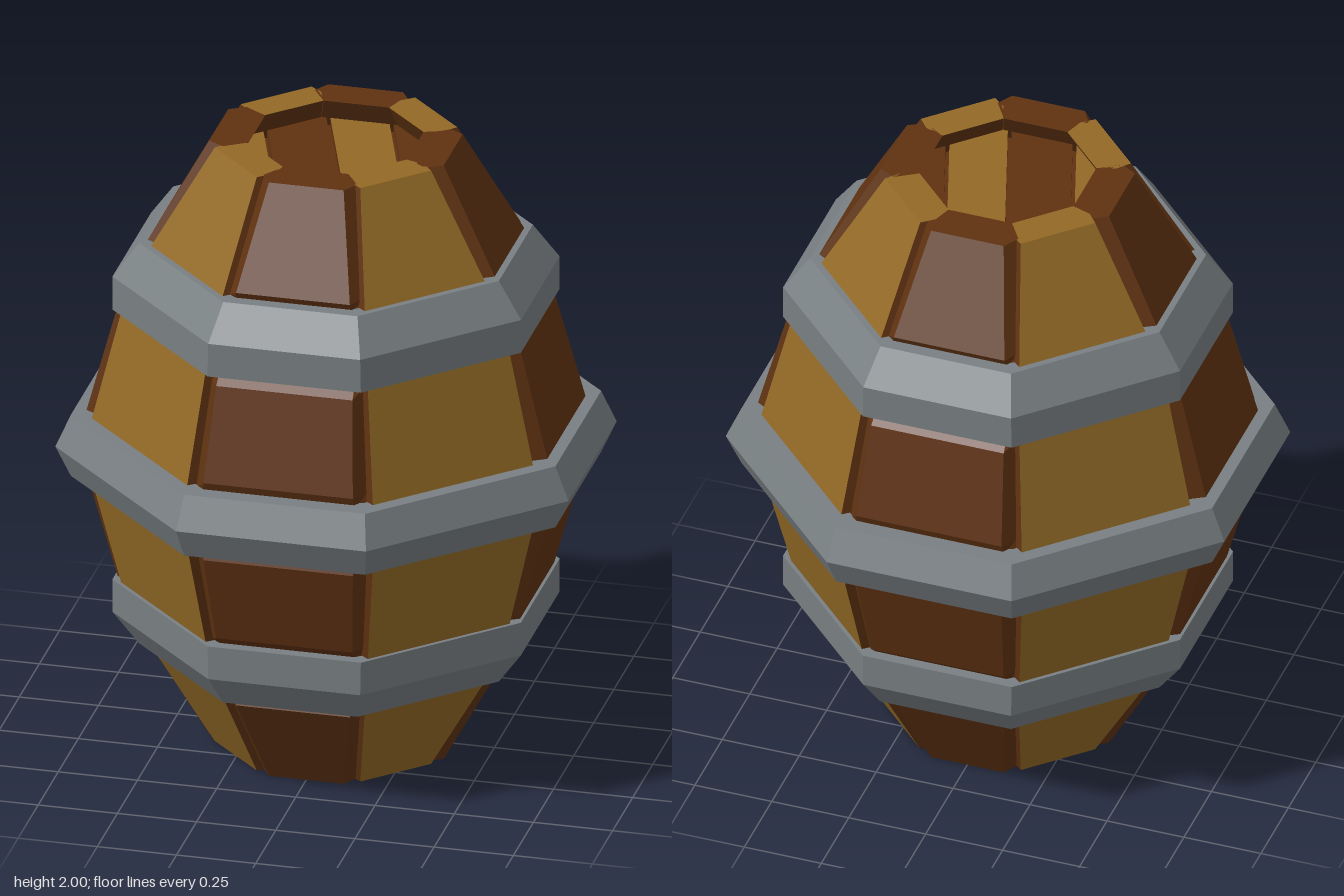
import * as THREE from 'three';

const mat = (name, color) => {
  const m = new THREE.MeshStandardMaterial({ color });
  m.name = name;
  return m;
};

// Flat-faced geometry from one list of quads/polygons per material
function facesToGeometry(buckets) {
  const pos = [];
  const geo = new THREE.BufferGeometry();
  buckets.forEach((faces, i) => {
    const start = pos.length / 3;
    for (const f of faces)
      for (let k = 1; k < f.length - 1; k++) pos.push(...f[0], ...f[k], ...f[k + 1]);
    geo.addGroup(start, pos.length / 3 - start, i);
  });
  geo.setAttribute('position', new THREE.Float32BufferAttribute(pos, 3));
  geo.computeVertexNormals();
  return geo;
}

// Quads joining two rings of points
const joinRings = (a, b) => a.map((p, k) => {
  const n = (k + 1) % a.length;
  return [p, a[n], b[n], b[k]];
});

// Interpolates [distance from middle height, radius, half width]
function sample(profile, y) {
  const h = Math.abs(y - 1);
  let i = 0;
  while (i < profile.length - 2 && h > profile[i + 1][0]) i++;
  const [a, b] = [profile[i], profile[i + 1]];
  const t = (h - a[0]) / (b[0] - a[0]);
  return [a[1] + (b[1] - a[1]) * t, a[2] + (b[2] - a[2]) * t];
}

const straightProfile = [[0, 0.755, 0.245], [0.57, 0.605, 0.205], [1, 0.37, 0.118]];
const diagonalProfile = [[0, 0.725, 0.295], [0.57, 0.587, 0.242], [1, 0.357, 0.126]];

// One curved stave with chamfered long edges; levels are [y, inset]
function staveGeometry(profile, levels, chamfer, thickness) {
  const rings = levels.map(([y, inset]) => {
    const [r, w] = sample(profile, y);
    const ri = r - thickness, wi = ri * 0.41, wb = w + chamfer, rb = r - 0.05;
    return [[-w, y, r - inset], [w, y, r - inset], [wb, y, rb], [wi, y, ri], [-wi, y, ri], [-wb, y, rb]];
  });
  const face = [], edges = [];
  for (let i = 0; i < rings.length - 1; i++) {
    const quads = joinRings(rings[i], rings[i + 1]);
    face.push(quads[0]);
    edges.push(...quads.slice(1));
  }
  face.push(rings.at(-1), [...rings[0]].reverse());
  return facesToGeometry([face, edges]);
}

// Octagonal hoop; section points are [apothem, half width of straight sides, y]
function hoopGeometry(section) {
  const rings = section.map(([a, c, y]) => [
    [-c, y, a], [c, y, a], [a, y, c], [a, y, -c], [c, y, -a], [-c, y, -a], [-a, y, -c], [-a, y, c],
  ]);
  const faces = rings.flatMap((r, i) => joinRings(r, rings[(i + 1) % rings.length]));
  return facesToGeometry([faces]);
}

// Keeps the part of a polygon where n.p >= d
function clip(poly, n, d) {
  const out = [];
  poly.forEach((p, i) => {
    const q = poly[(i + 1) % poly.length];
    const sp = p.dot(n) - d, sq = q.dot(n) - d;
    if (sp >= 0) out.push(p.clone());
    if (sp * sq < 0) out.push(p.clone().lerp(q, sp / (sp - sq)));
  });
  return out;
}

export function createModel() {
  const model = new THREE.Group();
  model.name = 'barrel';
  const tan = mat('tan wood', 0x936a26);
  const brown = mat('dark brown wood', 0x5f3211);
  const iron = mat('grey iron', 0x787f82);

  const add = (parent, name, geo, material) => {
    const m = new THREE.Mesh(geo, material);
    m.name = name;
    parent.add(m);
    return m;
  };

  // Staves, dark on the straight sides and tan on the diagonals
  const plain = [0, 0.43, 1, 1.57, 2].map((y) => [y, 0]);
  const upper = [[1.09, 0.025], [1.13, 0], [1.425, 0], [1.455, 0.025], [1.57, 0.025], [1.67, 0.025], [1.695, 0], [2, 0]];
  const notched = [...upper.map(([y, i]) => [2 - y, i]).reverse(), ...upper];
  for (let i = 0; i < 8; i++) {
    const diagonal = i % 2 === 1;
    const geo = diagonal
      ? staveGeometry(diagonalProfile, plain, 0.005, 0.107)
      : staveGeometry(straightProfile, i % 4 ? plain : notched, 0.03, 0.12);
    const stave = add(model, diagonal ? 'tanStave' : 'darkStave', geo, [diagonal ? tan : brown, brown]);
    stave.rotation.y = (i * Math.PI) / 4;
  }

  // Iron hoops
  add(model, 'middleHoop', hoopGeometry([
    [0.765, 0.285, 0.9], [0.81, 0.3, 1.0], [0.765, 0.285, 1.105], [0.69, 0.26, 1.105], [0.69, 0.26, 0.9],
  ]), iron);
  const hoop = [[0.645, 0.242, 1.455], [0.645, 0.24, 1.565], [0.568, 0.212, 1.675], [0.5, 0.185, 1.675], [0.58, 0.21, 1.455]];
  add(model, 'upperHoop', hoopGeometry(hoop), iron);
  add(model, 'lowerHoop', hoopGeometry(hoop.map(([a, c, y]) => [a, c, 2 - y]).reverse()), iron);

  // Sunken lids made of slanted planks over a dark backing board
  const lid = new THREE.Group();
  lid.name = 'topLid';
  const octagon = Array.from({ length: 8 }, (_, i) => {
    const a = ((i + 0.5) * Math.PI) / 4;
    return new THREE.Vector2(Math.cos(a), Math.sin(a)).multiplyScalar(0.315);
  });
  const slab = (name, poly, depth, y, material) => {
    const geo = new THREE.ExtrudeGeometry(new THREE.Shape(poly), { depth, bevelEnabled: false });
    geo.rotateX(-Math.PI / 2);
    add(lid, name, geo, material).position.y = y;
  };
  slab('lidBacking', octagon, 0.03, 1.87, brown);
  const across = new THREE.Vector2(0.95, 0.32), back = across.clone().negate();
  const cuts = [-0.4, -0.2, 0, 0.19, 0.4];
  for (let i = 0; i < 4; i++) {
    const plank = clip(clip(octagon, across, cuts[i] + 0.006), back, -cuts[i + 1] + 0.006);
    slab('lidPlank', plank, 0.025, 1.9, [i % 2 ? brown : tan, brown]);
  }
  const bottom = lid.clone();
  bottom.name = 'bottomLid';
  bottom.rotation.z = Math.PI;
  bottom.position.y = 2;
  model.add(lid, bottom);

  return model;
}
